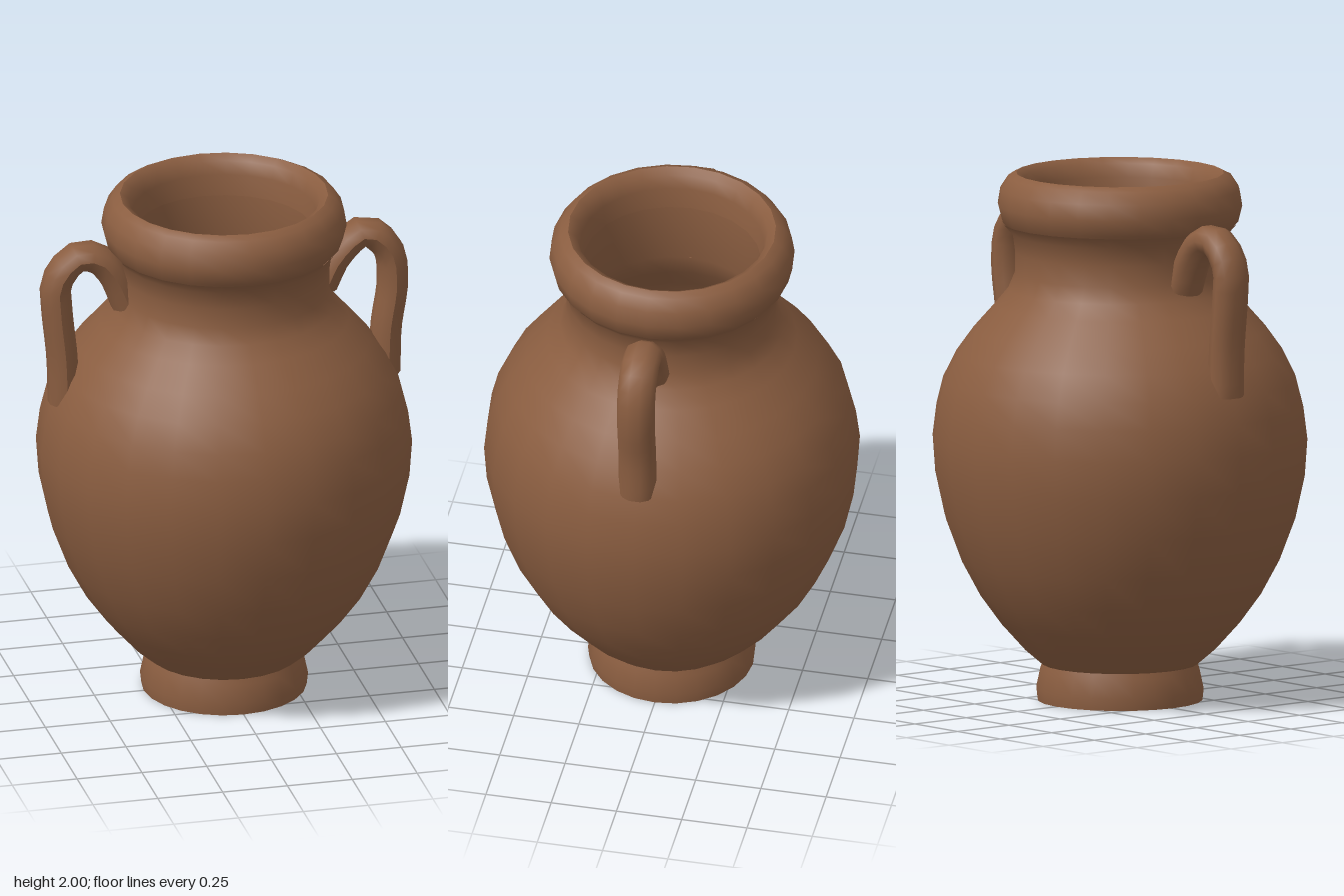
import * as THREE from 'three';
import { toCreasedNormals } from 'three/addons/utils/BufferGeometryUtils.js';

const SIDES = 24;

export function createModel() {
  const group = new THREE.Group();
  const clay = new THREE.MeshStandardMaterial({ color: 0x8a5d40 });
  clay.name = 'brown clay';

  const add = (name, geometry) => {
    const mesh = new THREE.Mesh(geometry, clay);
    mesh.name = name;
    group.add(mesh);
  };

  // Turned part from [radius, height] pairs
  const turn = (name, profile) => {
    const points = profile.map(([r, y]) => new THREE.Vector2(r, y));
    add(name, toCreasedNormals(new THREE.LatheGeometry(points, SIDES), 0.95));
  };

  // Foot ring with a flat underside
  turn('foot', [[0, 0.005], [0.31, 0.005], [0.315, 0.05], [0.3, 0.12], [0.29, 0.15], [0.33, 0.19]]);

  // Swelling belly, shoulder and neck
  turn('body', [
    [0.29, 0.14], [0.36, 0.2], [0.45, 0.3], [0.53, 0.41], [0.6, 0.54], [0.66, 0.7],
    [0.695, 0.86], [0.705, 1.0], [0.69, 1.12], [0.665, 1.22], [0.615, 1.32], [0.55, 1.41],
    [0.47, 1.5], [0.42, 1.56], [0.395, 1.62], [0.395, 1.7], [0.405, 1.77], [0.44, 1.81],
  ]);

  // Thick rolled lip
  turn('rim', [
    [0.4, 1.77], [0.445, 1.82], [0.46, 1.88], [0.45, 1.94], [0.42, 1.985],
    [0.39, 2.0], [0.36, 1.98], [0.345, 1.93], [0.335, 1.85],
  ]);

  // Hollow inside
  turn('interior', [
    [0.335, 1.85], [0.33, 1.62], [0.37, 1.52], [0.46, 1.4], [0.55, 1.22], [0.61, 1.0],
    [0.58, 0.75], [0.48, 0.48], [0.36, 0.3], [0.2, 0.21], [0, 0.19],
  ]);

  // Arched handles, slightly wider front to back than they are thick
  const handle = (name, path) => {
    const points = path.map(([x, y]) => new THREE.Vector3(x, y, 0));
    const curve = new THREE.CatmullRomCurve3(points, false, 'centripetal');
    const tube = new THREE.TubeGeometry(curve, 18, 0.058, 10, false);
    tube.scale(1, 1, 1.25);
    tube.computeVertexNormals();
    add(name, tube);
  };
  handle('leftHandle', [
    [0.38, 1.6], [0.435, 1.71], [0.54, 1.795], [0.63, 1.72], [0.65, 1.59], [0.625, 1.4], [0.62, 1.22],
  ]);
  handle('rightHandle', [
    [-0.38, 1.6], [-0.425, 1.71], [-0.49, 1.79], [-0.57, 1.8], [-0.645, 1.71], [-0.645, 1.6], [-0.625, 1.4], [-0.62, 1.22],
  ]);

  return group;
}
